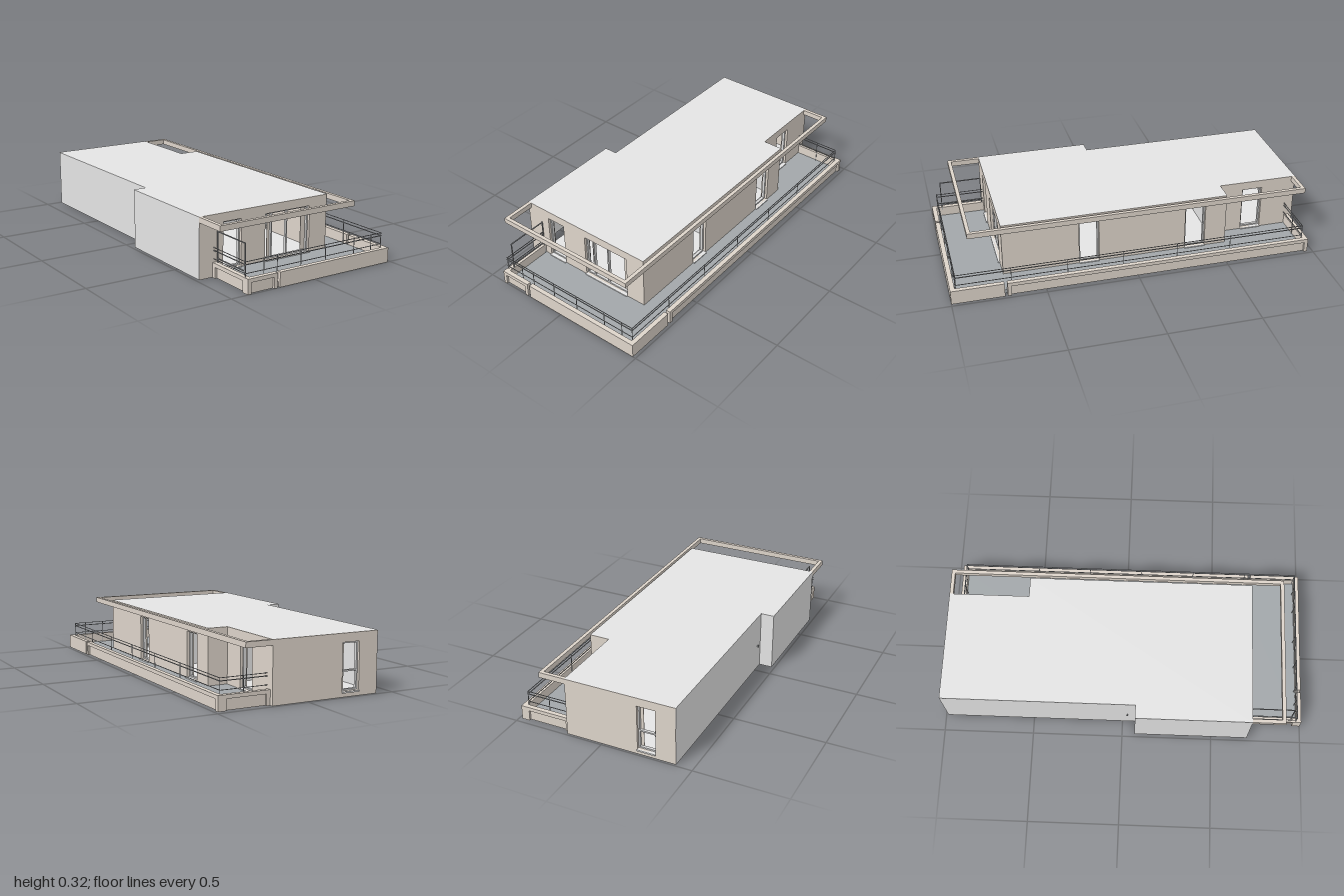
import * as THREE from 'three';

const flat = (name, color, side = THREE.FrontSide) => {
  const m = new THREE.MeshStandardMaterial({ color, side });
  m.name = name;
  return m;
};

export function createModel() {
  const root = new THREE.Group();
  root.name = 'house';
  const tan = flat('tan render', 0xddd4ca);
  const grey = flat('light grey', 0xe4e4e4, THREE.DoubleSide);
  const deckMat = flat('deck grey', 0xa2a7aa);
  const metal = flat('rail metal', 0xa4a7aa);
  const frameMat = flat('window frame', 0xd6d6d6);

  // box given by its extents
  const box = (name, mat, x0, x1, y0, y1, z0, z1, parent = root) => {
    const m = new THREE.Mesh(new THREE.BoxGeometry(x1 - x0, y1 - y0, z1 - z0), mat);
    m.position.set((x0 + x1) / 2, (y0 + y1) / 2, (z0 + z1) / 2);
    m.name = name;
    parent.add(m);
  };
  // plan outline of [x, z] points
  const plan = pts => new THREE.Shape(pts.map(([x, z]) => new THREE.Vector2(x, -z)));
  const TOP = 0.322, T = 0.04;
  const LEFT = -0.4835, SIDE = 0.312, EDGE = 0.4835, RING = 0.3475, FRONT = 0.702;

  // clear window in wall coordinates: frame, bars, curtains and sill
  function windowUnit(g, off, { a, b, y0 = 0.03, y1 = 0.276, mullions = [], transoms = [], curtains = [] }) {
    const f = 0.008, back = off - 0.03, front = off - 0.014;
    box('frameSide', frameMat, a, a + f, y0, y1, back, front, g);
    box('frameSide', frameMat, b - f, b, y0, y1, back, front, g);
    box('frameTop', frameMat, a + f, b - f, y1 - f, y1, back, front, g);
    box('frameBottom', frameMat, a + f, b - f, y0, y0 + f, back, front, g);
    for (const m of mullions)
      box('mullion', frameMat, m - 0.004, m + 0.004, y0 + f, y1 - f, back, front, g);
    for (const t of transoms)
      box('transom', frameMat, a + f, b - f, t - 0.004, t + 0.004, back, front, g);
    for (const [c0, c1] of curtains)
      box('curtain', tan, c0, c1, y0 + f, y1 - f, back, back + 0.003, g);
    box('windowSill', grey, a, b, y0 - 0.008, y0, off - T, off + 0.009, g);
  }

  // wall facing the given turn, lying off units from the centre
  function wall(name, mat, turn, off, u0, u1, windows = [], depth = T) {
    const g = new THREE.Group();
    g.name = name;
    g.rotation.y = turn;
    const s = new THREE.Shape();
    s.moveTo(u0, 0.001).lineTo(u1, 0.001).lineTo(u1, TOP).lineTo(u0, TOP).closePath();
    for (const w of windows) {
      const { a, b, y0 = 0.03, y1 = 0.276 } = w;
      const h = new THREE.Path();
      h.moveTo(a, y0).lineTo(a, y1).lineTo(b, y1).lineTo(b, y0).closePath();
      s.holes.push(h);
      windowUnit(g, off, w);
    }
    const geo = new THREE.ExtrudeGeometry(s, { depth, bevelEnabled: false });
    geo.translate(0, 0, off - depth);
    const m = new THREE.Mesh(geo, mat);
    m.name = name + 'Panel';
    g.add(m);
    root.add(g);
  }

  const Q = Math.PI / 2;
  wall('frontWall', tan, 0, FRONT, LEFT + 0.001, SIDE, [
    { a: -0.342, b: -0.233 },
    { a: -0.085, b: 0.2, mullions: [-0.035, 0.062], curtains: [[-0.055, -0.039], [0.163, 0.192]] },
  ]);
  wall('sideWall', tan, Q, SIDE, -FRONT, 0.545, [
    { a: -0.285, b: -0.175 }, { a: 0.31, b: 0.425 },
  ]);
  wall('recessedWall', tan, Q, 0.20, 0.545, 0.99, [{ a: 0.68, b: 0.795 }]);
  wall('returnWall', tan, Math.PI, 0.545, -SIDE, -0.17);
  wall('backWall', tan, Math.PI, 0.99, -0.20, 0.409, [
    { a: 0.20, b: 0.30, transoms: [0.13], curtains: [[0.208, 0.225]] },
  ]);
  wall('leftRearWall', grey, -Q, 0.41, -0.989, 0.07);
  wall('leftFrontWall', grey, -Q, -LEFT, 0.07, FRONT - 0.001, [], 0.01);
  wall('leftStepWall', grey, Math.PI, -0.07, 0.37, -LEFT, [], 0.01);
  box('doorHandle', metal, -0.418, -0.41, 0.135, 0.145, 0.024, 0.032);

  // room partitions across the house
  for (const z of [0.05, -0.5]) box('partition', grey, -0.37, SIDE - T, 0.022, TOP, z - 0.01, z + 0.01);

  // flat roof, and floors that stop short of the left bay
  const rightEdge = [[SIDE, FRONT], [SIDE, -0.545], [0.20, -0.545], [0.20, -0.99]];
  const bay = [[-0.41, 0.07], [LEFT, 0.07], [LEFT, FRONT]];
  const slab = (name, y, leftEdge, edge) => {
    const shape = plan([[-0.41, -0.99], ...leftEdge, ...edge]);
    const m = new THREE.Mesh(new THREE.ShapeGeometry(shape).rotateX(-Q), grey);
    m.name = name;
    m.position.y = y;
    root.add(m);
  };
  slab('roof', TOP + 0.0015, bay, rightEdge);
  slab('groundFloor', 0, [[-0.41, FRONT]], rightEdge);
  // floor finish kept inside the wall faces
  slab('floorFinish', 0.0215, [[-0.41, FRONT - 0.02]], [
    [SIDE - 0.02, FRONT - 0.02], [SIDE - 0.02, -0.525], [0.18, -0.525], [0.18, -0.97], [-0.39, -0.97],
  ]);

  // open roof ring beyond the walls
  const R0 = 0.293;
  box('roofRingFront', tan, LEFT, RING, R0, TOP, 0.861, 0.881);
  box('roofRingLeft', tan, LEFT, LEFT + 0.02, R0, TOP, FRONT, 0.861);
  box('roofRingSide', tan, RING - 0.02, RING, R0, TOP, -0.97, 0.861);
  box('roofRingBack', tan, 0.20, RING, R0, TOP, -0.99, -0.97);

  // L-shaped terrace
  const deckGeo = new THREE.ExtrudeGeometry(plan([
    [-0.39, FRONT], [-0.39, 0.98], [0.46, 0.98], [0.46, -0.95],
    [0.20, -0.95], [0.20, -0.545], [SIDE, -0.545], [SIDE, FRONT],
  ]), { depth: 0.02, bevelEnabled: false }).rotateX(-Q).translate(0, 0.005, 0);
  const deck = new THREE.Mesh(deckGeo, deckMat);
  deck.name = 'terraceDeck';
  root.add(deck);

  // parapets; framed ones have a top beam, two legs and a set-back panel
  const H = 0.078, B = 0.058, W = 0.025;
  box('parapetFront', tan, -0.215, EDGE, 0, H, 1 - W, 1);
  box('parapetFrontSide', tan, EDGE - W, EDGE, 0, H, 0.72, 1 - W);
  box('gapThreshold', tan, -0.23, -0.215, 0, 0.026, 0.976, 0.986);
  function framedParapet(name, turn, off, u0, u1) {
    const g = new THREE.Group();
    g.name = name;
    g.rotation.y = turn;
    box(name + 'Beam', tan, u0, u1, B, H, off - W, off, g);
    box(name + 'Leg', tan, u0, u0 + 0.02, 0, B, off - W, off, g);
    box(name + 'Leg', tan, u1 - 0.02, u1, 0, B, off - W, off, g);
    box(name + 'Panel', tan, u0 + 0.02, u1 - 0.02, 0, B, off - W, off - 0.012, g);
    root.add(g);
  }
  framedParapet('frontEndParapet', 0, 1, -0.405, -0.23);
  framedParapet('sideParapet', Q, EDGE, -0.705, 0.97);
  framedParapet('backParapet', Math.PI, 0.97, W - EDGE, -0.20);
  framedParapet('leftParapet', -Q, 0.405, FRONT, 0.975);

  // railing along the front, side and back of the terrace
  const fz = 0.968, sx = 0.457, bz = -0.94;
  for (const [y, r] of [[0.095, 0.0015], [0.139, 0.002], [0.154, 0.0015]]) {
    box('frontRail', metal, -0.405, sx + r, y - r, y + r, fz - r, fz + r);
    box('sideRail', metal, sx - r, sx + r, y - r, y + r, bz, fz);
    box('backRail', metal, 0.20, sx + r, y - r, y + r, bz - r, bz + r);
    box('leftRail', metal, -0.397 - r, -0.397 + r, y - r, y + r, FRONT, fz);
  }
  const post = (x, z) =>
    box('railPost', metal, x - 0.0015, x + 0.0015, 0.025, 0.154, z - 0.0015, z + 0.0015);
  for (const x of [-0.397, -0.29, -0.21, -0.065, 0.09, 0.275, 0.39, sx]) post(x, fz);
  for (const z of [0.68, 0.38, 0.08, -0.22, -0.52, bz]) post(sx, z);
  post(0.33, bz);

  // open frame of the privacy screen
  box('screenTop', metal, -0.385, -0.38, 0.234, 0.239, 0.71, 0.945);
  box('screenBottom', metal, -0.385, -0.38, 0.095, 0.1, 0.71, 0.945);
  for (const z of [0.71, 0.94]) box('screenPost', metal, -0.385, -0.38, 0.025, 0.239, z, z + 0.005);

  return root;
}
